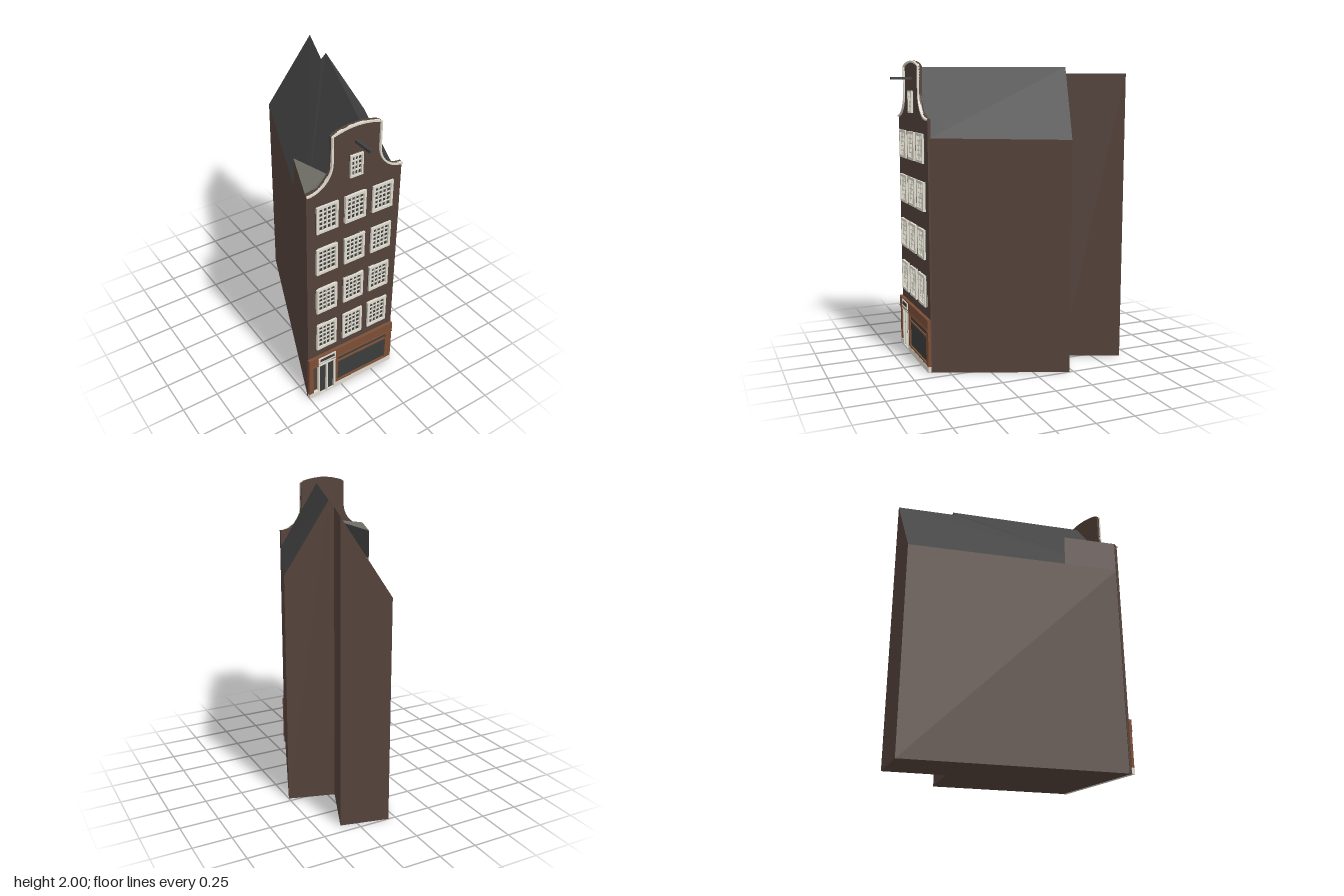
import * as THREE from 'three';

const mat = (name, color, side = THREE.FrontSide) => {
  const m = new THREE.MeshStandardMaterial({ color, side });
  m.name = name;
  return m;
};

export function createModel() {
  const brick = mat('brown brick', 0x54423a);
  const slate = mat('dark slate', 0x414141, THREE.DoubleSide);
  const lead = mat('grey lead', 0x6c6c65, THREE.DoubleSide);
  const trim = mat('cream paint', 0xdedacd);
  const wood = mat('shop wood', 0x7c4e37);
  const glass = mat('dark glass', 0x3a3d3d);

  const model = new THREE.Group();
  model.name = 'canalHouse';

  const add = (name, geometry, material, parent = model) => {
    const mesh = new THREE.Mesh(geometry, material);
    mesh.name = name;
    parent.add(mesh);
    return mesh;
  };

  // Box given by its limits
  const box = (name, material, x0, x1, y0, y1, z0, z1, parent) => {
    const g = new THREE.BoxGeometry(x1 - x0, y1 - y0, z1 - z0);
    g.translate((x0 + x1) / 2, (y0 + y1) / 2, (z0 + z1) / 2);
    return add(name, g, material, parent);
  };

  // Flat polygons, each split as a fan from its first corner
  const polygons = (faces) => {
    const p = [];
    for (const f of faces)
      for (let i = 1; i < f.length - 1; i++) p.push(...f[0], ...f[i], ...f[i + 1]);
    const g = new THREE.BufferGeometry();
    g.setAttribute('position', new THREE.Float32BufferAttribute(p, 3));
    g.computeVertexNormals();
    return g;
  };

  // Skewed house body: wall-top corners, anticlockwise from above
  const frontLeft = [-0.5, 1.44, 0.6], ridgeFront = [-0.12, 1.96, 0.6], frontRight = [0.165, 1.52, 0.6];
  const sideBack = [0.5, 1.51, -0.22], ridgeBack = [0.235, 1.96, -0.3], notch = [0.205, 1.92, -0.31];
  const rearRight = [0.355, 1.92, -0.68], rearLeft = [0.05, 1.44, -0.75];
  const tops = [frontLeft, ridgeFront, frontRight, sideBack, ridgeBack, notch, rearRight, rearLeft];
  const ground = ([x, , z]) => [x, 0, z];
  const walls = tops.map((a, i) => {
    const b = tops[(i + 1) % tops.length];
    return [ground(a), ground(b), b, a];
  });
  const base = tops.map(ground);
  walls.push([base[0], ...base.slice(1).reverse()]);

  // Raised piece of side wall behind the gable, with its flat lead roof
  const kerbFront = [-0.5, 1.65, 0.6], kerbBack = [-0.358, 1.65, 0.25];
  const kerbFoot = [-0.358, 1.44, 0.25];
  const valley = [-0.305, 1.67, 0.52], valleyFront = [-0.325, 1.68, 0.6];
  walls.push([frontLeft, kerbFront, kerbBack, kerbFoot]);
  add('walls', polygons(walls), brick);
  add('roof', polygons([
    [frontLeft, ridgeFront, ridgeBack, notch, rearRight, rearLeft],
    [frontRight, sideBack, ridgeBack, ridgeFront],
    [kerbFoot, valley, kerbBack],
  ]), slate);
  add('leadRoof', polygons([[kerbFront, valleyFront, valley, kerbBack]]), lead);

  // Neck gable outline, from right shoulder over the top to left shoulder
  const cx = -0.1675, outline = [];
  const half = [];
  for (let i = 0; i <= 12; i++) {
    const a = (i / 12) * Math.PI / 2;
    half.push([0.3325 - 0.163 * Math.sin(a), 1.8 - 0.16 * Math.cos(a)]);
  }
  half.push([0.1695, 1.965]);
  for (let i = 1; i <= 8; i++) {
    const t = i / 8;
    half.push([0.165 * (1 - t), 1.972 + 0.028 * (1 - (1 - t) ** 2)]);
  }
  for (const [x, y] of half) outline.push(new THREE.Vector2(cx + x, y));
  for (const [x, y] of half.slice(0, -1).reverse()) outline.push(new THREE.Vector2(cx - x, y));

  const extrude = (pts, z0, z1) => {
    const g = new THREE.ExtrudeGeometry(new THREE.Shape(pts), { depth: z1 - z0, bevelEnabled: false });
    return g.translate(0, 0, z0);
  };
  add('facade', extrude([
    new THREE.Vector2(-0.5, 0), new THREE.Vector2(0.165, 0), ...outline,
  ], 0.592, 0.612), brick);

  // Pale coping along the gable edge
  const inner = outline.map((p, i) => {
    const a = outline[Math.max(i - 1, 0)], b = outline[Math.min(i + 1, outline.length - 1)];
    const d = b.clone().sub(a).normalize();
    return new THREE.Vector2(p.x - d.y * 0.011, p.y + d.x * 0.011);
  });
  add('gableCoping', extrude([...outline, ...inner.reverse()], 0.606, 0.624), trim);

  // Sash window: glass, outer frame and glazing bars
  const sash = (name, x, y0, y1, w, cols, rows, edge) => {
    const g = new THREE.Group();
    g.name = name;
    model.add(g);
    const x0 = x - w / 2, x1 = x + w / 2;
    box('pane', glass, x0, x1, y0, y1, 0.611, 0.617, g);
    for (const [a, b] of [[x0, x0 + edge], [x1 - edge, x1]])
      box('frameSide', trim, a, b, y0, y1, 0.612, 0.63, g);
    for (const [a, b] of [[y0, y0 + edge], [y1 - edge, y1]])
      box('frameRail', trim, x0 + edge, x1 - edge, a, b, 0.612, 0.63, g);
    for (let i = 1; i < cols; i++) {
      const bx = x0 + edge + (w - 2 * edge) * i / cols;
      box('uprightBar', trim, bx - 0.004, bx + 0.004, y0 + edge, y1 - edge, 0.612, 0.624, g);
    }
    for (let j = 1; j < rows; j++) {
      const by = y0 + edge + (y1 - y0 - 2 * edge) * j / rows;
      box('crossBar', trim, x0 + edge, x1 - edge, by - 0.004, by + 0.004, 0.612, 0.623, g);
    }
  };
  for (const [y0, y1] of [[1.357, 1.544], [1.05, 1.24], [0.737, 0.931], [0.424, 0.631]])
    for (const x of [-0.366, -0.169, 0.027]) sash('window', x, y0, y1, 0.148, 4, 5, 0.017);
  sash('atticWindow', -0.17, 1.665, 1.81, 0.088, 3, 4, 0.011);

  // Hoisting beam
  box('hoistBeam', slate, -0.179, -0.161, 1.879, 1.897, 0.6, 0.75);

  // Wooden shop front
  box('shopFascia', wood, -0.503, 0.165, 0.285, 0.355, 0.608, 0.633);
  box('shopCornice', wood, -0.503, 0.165, 0.279, 0.288, 0.608, 0.637);
  box('leftPilaster', wood, -0.503, -0.47, 0.04, 0.28, 0.608, 0.63);
  box('doorPost', wood, -0.302, -0.278, 0.04, 0.28, 0.608, 0.63);
  box('rightPilaster', wood, 0.115, 0.165, 0.04, 0.28, 0.608, 0.63);
  box('shopSill', wood, -0.278, 0.115, 0.04, 0.052, 0.608, 0.63);
  box('shopTransom', wood, -0.278, 0.115, 0.224, 0.236, 0.608, 0.628);
  box('shopHead', wood, -0.278, 0.115, 0.266, 0.28, 0.608, 0.628);
  box('shopWindow', glass, -0.278, 0.115, 0.052, 0.226, 0.611, 0.618);
  box('shopUpperLight', glass, -0.278, 0.115, 0.234, 0.268, 0.611, 0.618);

  // Stone plinth either side of the door
  box('plinthLeft', trim, -0.503, -0.434, 0, 0.04, 0.608, 0.632);
  box('plinthRight', trim, -0.3, 0.165, 0, 0.04, 0.608, 0.632);
  box('doorStep', trim, -0.434, -0.3, 0, 0.012, 0.608, 0.632);

  // Double door with fanlight
  box('doorLeaves', glass, -0.43, -0.304, 0.012, 0.285, 0.612, 0.621);
  for (const x of [-0.428, -0.367, -0.306])
    box('doorUpright', trim, x - 0.006, x + 0.006, 0.012, 0.285, 0.612, 0.634);
  box('doorHead', trim, -0.434, -0.3, 0.276, 0.288, 0.612, 0.639);
  box('fanlight', glass, -0.43, -0.304, 0.3, 0.342, 0.63, 0.636);
  for (const y of [0.303, 0.341])
    box('fanlightRail', trim, -0.434, -0.3, y - 0.005, y + 0.005, 0.63, 0.639);
  for (const x of [-0.429, -0.305])
    box('fanlightSide', trim, x - 0.005, x + 0.005, 0.308, 0.336, 0.63, 0.639);

  return model;
}
